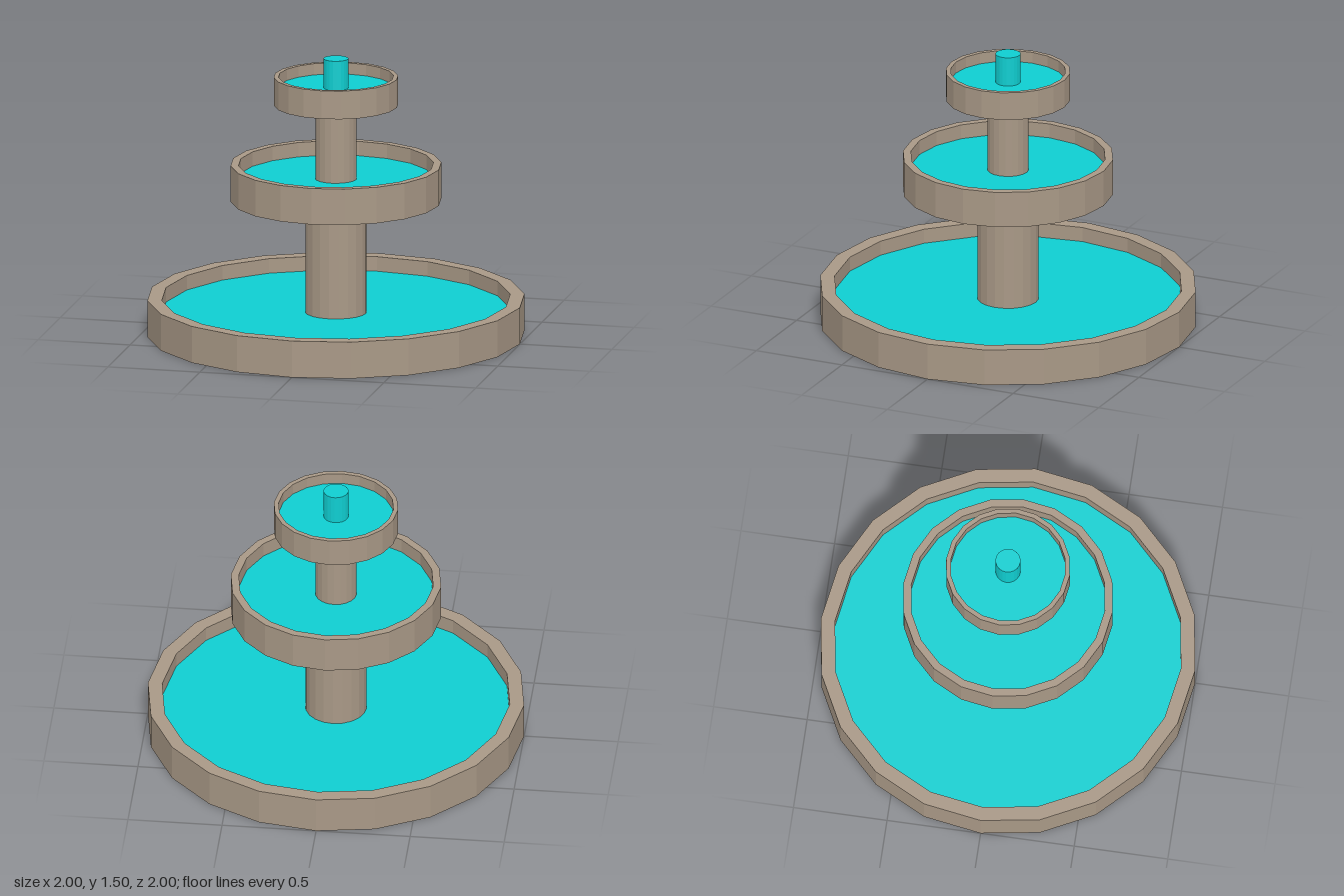
import * as THREE from 'three';

const SIDES = 20;
const stone = new THREE.MeshStandardMaterial({ color: 0xa89886, flatShading: true });
const water = new THREE.MeshStandardMaterial({ color: 0x0fced1, flatShading: true });

function add(group, name, geometry, material, y = 0) {
  const mesh = new THREE.Mesh(geometry, material);
  mesh.name = name;
  mesh.position.y = y;
  group.add(mesh);
}

// Upright prism standing between two heights
function pillar(group, name, radius, bottom, top, material) {
  add(group, name, new THREE.CylinderGeometry(radius, radius, top - bottom, SIDES), material, (bottom + top) / 2);
}

// Open stone bowl, partly filled with water; returns the water level
function basin(group, name, outer, inner, bottom, top) {
  const height = top - bottom;
  const floor = bottom + height * 0.25;
  const level = bottom + height * 0.6;
  const profile = [[0, bottom], [outer, bottom], [outer, top], [inner, top], [inner, floor], [0, floor]];
  add(group, name + 'Basin', new THREE.LatheGeometry(profile.map(([x, y]) => new THREE.Vector2(x, y)), SIDES), stone);
  add(group, name + 'Water', new THREE.CircleGeometry(inner, SIDES).rotateX(-Math.PI / 2), water, level);
  return level;
}

export function createModel() {
  const group = new THREE.Group();
  group.name = 'tieredFountain';

  // Three stacked basins
  const lowerLevel = basin(group, 'lower', 1, 0.924, 0, 0.198);
  const middleLevel = basin(group, 'middle', 0.559, 0.517, 0.727, 0.923);
  const upperLevel = basin(group, 'upper', 0.33, 0.305, 1.247, 1.4);

  // Columns between the basins
  pillar(group, 'lowerColumn', 0.163, lowerLevel - 0.05, 0.727, stone);
  pillar(group, 'upperColumn', 0.11, middleLevel - 0.05, 1.247, stone);

  // Water jet at the top
  pillar(group, 'waterJet', 0.066, upperLevel - 0.03, 1.498, water);

  return group;
}
